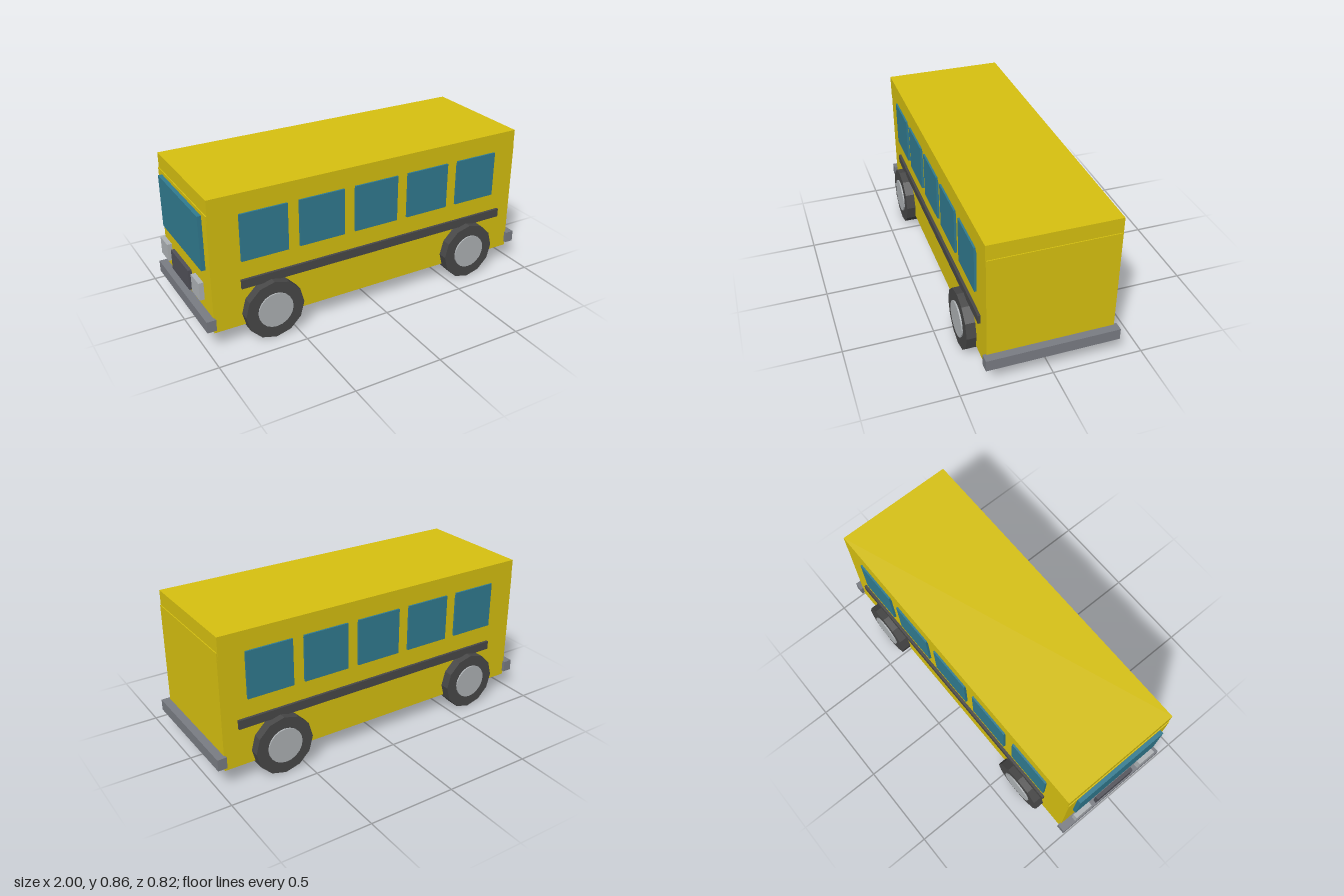
import * as THREE from 'three';

function material(name, color) {
  const m = new THREE.MeshStandardMaterial({ color, flatShading: true });
  m.name = name;
  return m;
}

export function createModel() {
  const bus = new THREE.Group();
  bus.name = 'bus';

  const yellow = material('yellow paint', 0xd6c010);
  const glass = material('blue glass', 0x317b90);
  const rubber = material('dark rubber', 0x484848);
  const bumperGrey = material('bumper grey', 0x797c83);
  const grilleGrey = material('grille grey', 0x505058);
  const metal = material('light metal', 0xaeb2b5);

  const add = (name, geometry, mat, x, y, z) => {
    const mesh = new THREE.Mesh(geometry, mat);
    mesh.name = name;
    mesh.position.set(x, y, z);
    bus.add(mesh);
    return mesh;
  };

  // Box given by its limits on each axis
  const box = (name, mat, [x0, x1], [y0, y1], [z0, z1]) =>
    add(name, new THREE.BoxGeometry(x1 - x0, y1 - y0, z1 - z0), mat,
      (x0 + x1) / 2, (y0 + y1) / 2, (z0 + z1) / 2);

  // Body shell and the slightly wider, shorter roof
  box('body', yellow, [-0.955, 0.955], [0.1, 0.77], [-0.347, 0.347]);
  box('roof', yellow, [-0.95, 0.95], [0.732, 0.855], [-0.35, 0.35]);

  // Wheel parts, axis along z
  const tyre = new THREE.CylinderGeometry(0.168, 0.168, 0.075, 12).rotateX(Math.PI / 2);
  const hub = new THREE.CylinderGeometry(0.1, 0.1, 0.092, 20).rotateX(Math.PI / 2);

  for (const side of [-1, 1]) {
    const span = (a, b) => (side > 0 ? [a, b] : [-b, -a]);

    // Side windows
    for (let i = 0; i < 5; i++) {
      const x = -0.655 + i * 0.3325;
      box('sideWindow', glass, [x - 0.133, x + 0.133], [0.48, 0.745], span(0.34, 0.36));
    }

    // Rub rail
    box('sideRail', rubber, [-0.795, 0.867], [0.323, 0.373], span(0.34, 0.362));

    // Wheels
    for (const x of [-0.63, 0.63]) {
      add('tyre', tyre, rubber, x, 0.168, side * 0.3625);
      add('hub', hub, metal, x, 0.17, side * 0.362);
    }

    // Headlights
    box('headlight', metal, [-1, -0.973], [0.28, 0.38], span(0.18, 0.29));

    // Bumpers at both ends
    box('bumper', bumperGrey, span(0.948, 1), [0.125, 0.19], [-0.365, 0.365]);
  }

  // Nose: windscreen and grille
  box('windscreen', glass, [-0.978, -0.95], [0.445, 0.75], [-0.287, 0.287]);
  box('grille', grilleGrey, [-0.997, -0.976], [0.257, 0.373], [-0.13, 0.13]);

  return bus;
}
